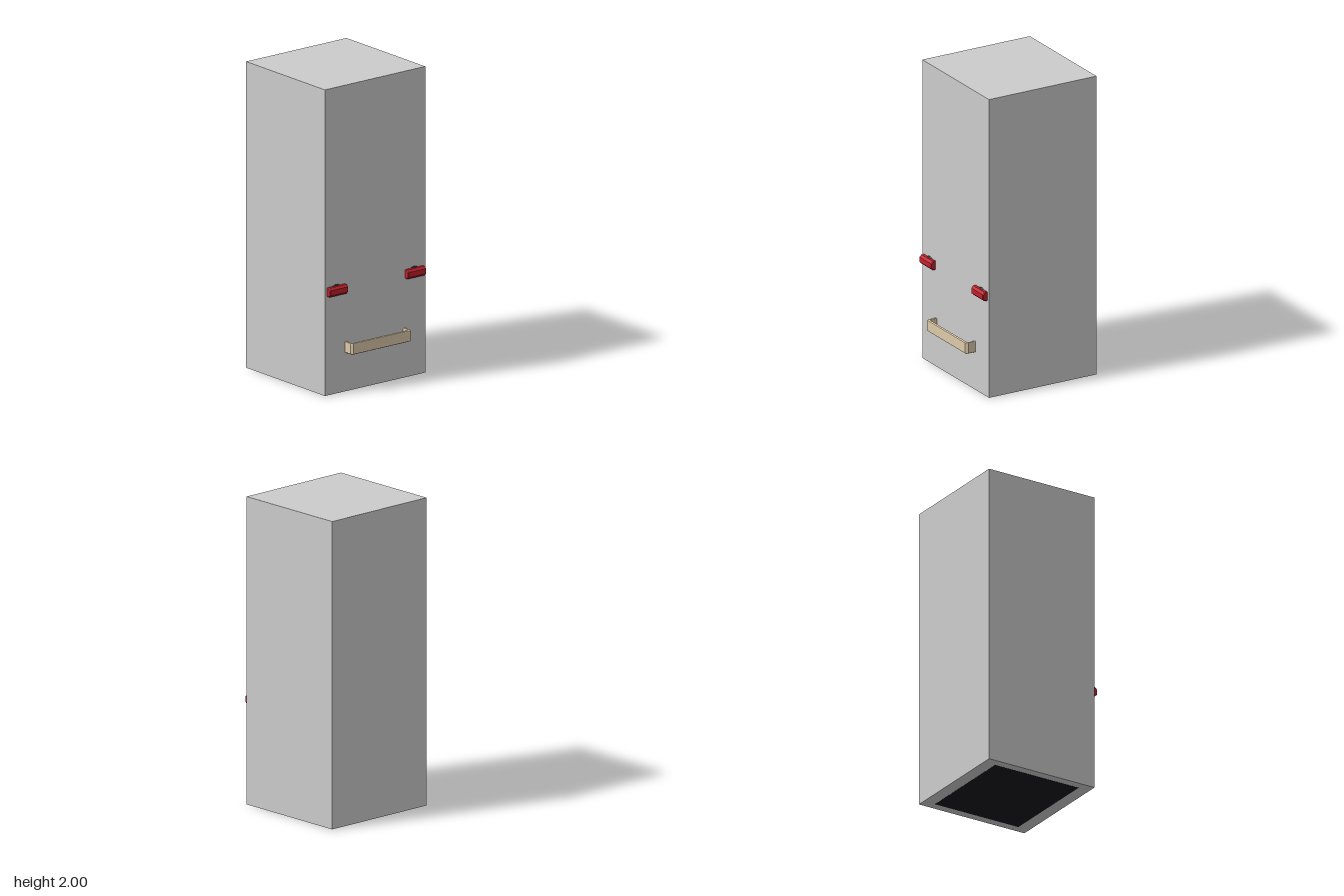
import * as THREE from 'three';

const mat = (color) => new THREE.MeshStandardMaterial({ color });
const grey = mat(0xcccccc), dark = mat(0x17141a), red = mat(0xc2202b);
const cream = mat(0xdcc9a8), amber = mat(0xdba437), charcoal = mat(0x23272c);
const FRONT = 0.355, BACK = -0.43, HALF = 0.403;

function part(parent, name, geometry, material, x = 0, y = 0, z = 0) {
  const mesh = new THREE.Mesh(geometry, material);
  mesh.name = name;
  mesh.position.set(x, y, z);
  parent.add(mesh);
  return mesh;
}

const shapeOf = (points) => new THREE.Shape(points.map(([x, y]) => new THREE.Vector2(x, y)));

// Horizontal grip: a chamfered profile in (z, y) extruded along x
function gripGeometry() {
  const d = 0.137, b = 0.004;
  const profile = shapeOf([
    [0.325, -0.026], [0.373, -0.026], [0.384, -0.015],
    [0.384, 0.015], [0.373, 0.026], [0.325, 0.026],
  ]);
  const g = new THREE.ExtrudeGeometry(profile, {
    depth: d, bevelEnabled: true, bevelSize: b, bevelThickness: b, bevelSegments: 1,
  });
  g.translate(0, 0, -d / 2);
  return g.rotateY(-Math.PI / 2);
}

// Tray rim: a U-shaped outline in (x, z) extruded vertically
function rimGeometry() {
  const h = 0.062, b = 0.005;
  const outline = shapeOf([
    [-0.236, 0.335], [-0.231, 0.335], [-0.231, 0.410], [0.231, 0.410],
    [0.231, 0.335], [0.236, 0.335], [0.236, 0.406], [0.226, 0.420],
    [-0.226, 0.420], [-0.236, 0.406],
  ]);
  const g = new THREE.ExtrudeGeometry(outline, {
    depth: h, bevelEnabled: true, bevelSize: b, bevelThickness: b, bevelSegments: 2,
  });
  g.translate(0, 0, -h / 2);
  return g.rotateX(Math.PI / 2);
}

export function createModel() {
  const model = new THREE.Group();
  const midZ = (FRONT + BACK) / 2;

  // Tall cabinet with a dark panel underneath
  part(model, 'body', new THREE.BoxGeometry(HALF * 2, 1.999, FRONT - BACK), grey, 0, 1.0005, midZ);
  part(model, 'basePanel', new THREE.BoxGeometry(0.69, 0.01, 0.62), dark, 0, 0.005, midZ);

  // Pair of red grips, each with a dark dial and a small coloured knob
  for (const side of [-1, 1]) {
    const grip = new THREE.Group();
    grip.name = side > 0 ? 'leftGrip' : 'rightGrip';
    grip.position.set(side * 0.313, 0.675, 0);
    part(grip, 'gripBar', gripGeometry(), red);
    part(grip, 'dial', new THREE.CylinderGeometry(0.045, 0.056, 0.01, 24), charcoal, 0, 0.034, 0.309);
    part(grip, 'knob', new THREE.CylinderGeometry(0.01, 0.012, 0.01, 12),
      mat(side > 0 ? 0x4a86b0 : 0xb0463c), 0, 0.043, 0.344);
    model.add(grip);
  }

  // Shallow tray at the front
  const tray = new THREE.Group();
  tray.name = 'tray';
  part(tray, 'trayRim', rimGeometry(), cream, 0, 0.29, 0);
  part(tray, 'trayFloor', new THREE.BoxGeometry(0.464, 0.012, 0.076), amber, 0, 0.257, 0.376);
  model.add(tray);

  return model;
}
